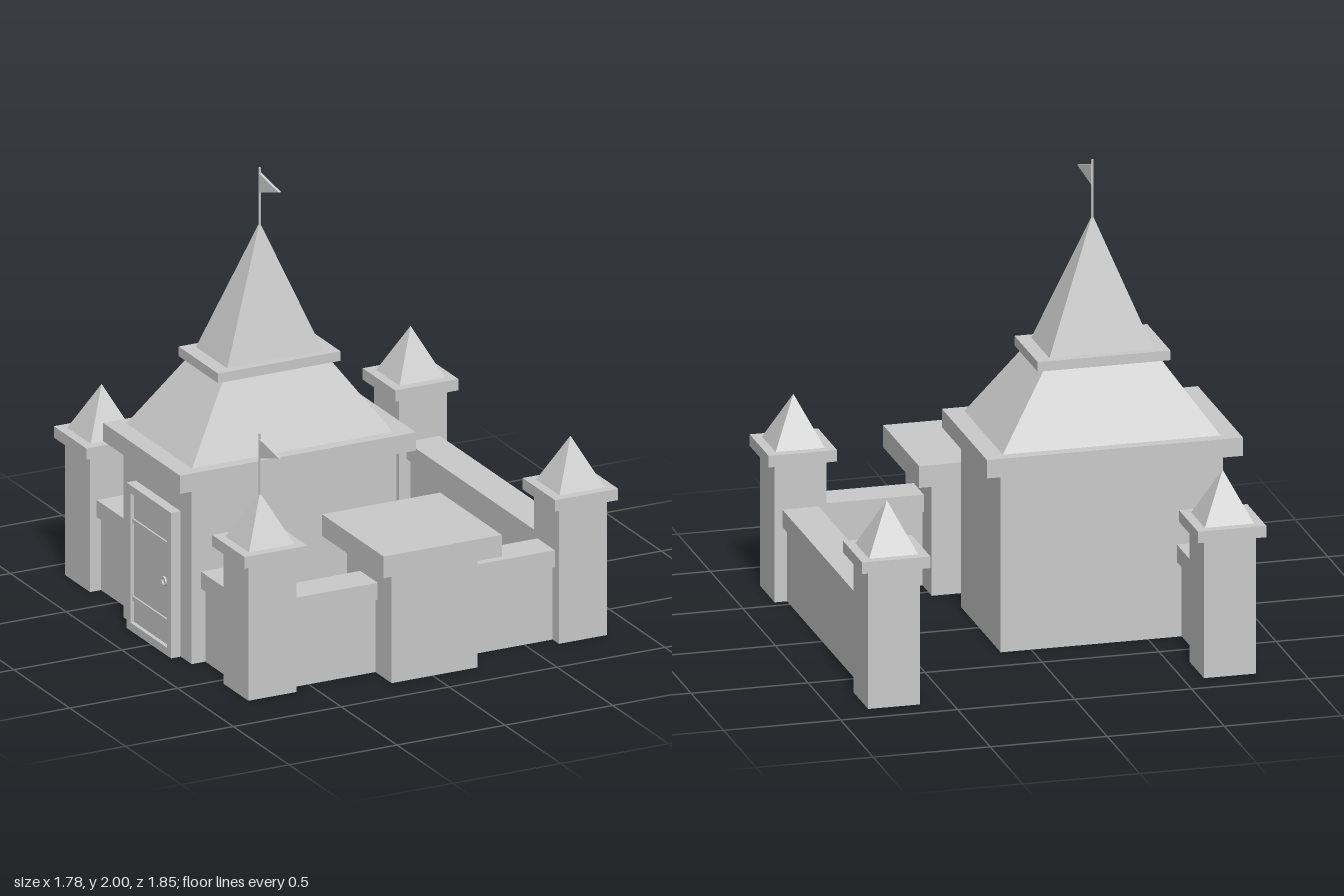
import * as THREE from 'three';

const grey = new THREE.MeshStandardMaterial({ color: 0xcccccc, flatShading: true });
const greyThin = new THREE.MeshStandardMaterial({ color: 0xcccccc, flatShading: true, side: THREE.DoubleSide });

function add(parent, name, geometry, material = grey) {
  const mesh = new THREE.Mesh(geometry, material);
  mesh.name = name;
  parent.add(mesh);
  return mesh;
}

// Box given by its limits on each axis
function block(parent, name, [x0, x1], [y0, y1], [z0, z1]) {
  const mesh = add(parent, name, new THREE.BoxGeometry(x1 - x0, y1 - y0, z1 - z0));
  mesh.position.set((x0 + x1) / 2, (y0 + y1) / 2, (z0 + z1) / 2);
  return mesh;
}

// Four-sided roof: a box whose top corners are drawn in to a smaller rectangle
function hipRoof(parent, name, [cx, cz], [y0, y1], [w, d], [topW, topD] = [0, 0]) {
  const geometry = new THREE.BoxGeometry(w, y1 - y0, d);
  const p = geometry.attributes.position;
  for (let i = 0; i < p.count; i++) {
    if (p.getY(i) > 0) {
      p.setX(i, Math.sign(p.getX(i)) * topW / 2);
      p.setZ(i, Math.sign(p.getZ(i)) * topD / 2);
    }
  }
  geometry.computeVertexNormals();
  const mesh = add(parent, name, geometry);
  mesh.position.set(cx, (y0 + y1) / 2, cz);
}

// Thin pole with a pennant pointing forward
function flag(parent, x, z, y0, y1) {
  const group = new THREE.Group();
  group.name = 'flag';
  group.position.set(x, 0, z);
  const pole = add(group, 'flagPole', new THREE.CylinderGeometry(0.005, 0.005, y1 - y0, 6));
  pole.position.y = (y0 + y1) / 2;
  const shape = new THREE.Shape([
    new THREE.Vector2(0, -0.043), new THREE.Vector2(0.143, 0), new THREE.Vector2(0, 0.043),
  ]);
  const geometry = new THREE.ExtrudeGeometry(shape, { depth: 0.012, bevelEnabled: false });
  geometry.translate(0, 0, -0.006);
  const pennant = add(group, 'pennant', geometry, greyThin);
  pennant.position.y = y1 - 0.065;
  pennant.rotation.y = -Math.PI / 2 + 0.15;
  parent.add(group);
}

// Corner tower: shaft, cap slab and pyramid roof
function tower(parent, name, x, z) {
  const group = new THREE.Group();
  group.name = name;
  const span = (c, half) => [c - half, c + half];
  block(group, 'shaft', span(x, 0.111), [0, 0.6], span(z, 0.111));
  block(group, 'cap', span(x, 0.146), [0.6, 0.65], span(z, 0.146));
  hipRoof(group, 'towerRoof', [x, z], [0.65, 0.86], [0.21, 0.21]);
  parent.add(group);
  return group;
}

// Curtain wall with a slightly wider coping; runs along the longer side
function wall(parent, name, [x0, x1], [z0, z1]) {
  const group = new THREE.Group();
  group.name = name;
  const ix = x1 - x0 < z1 - z0 ? 0.02 : 0;
  const iz = 0.02 - ix;
  block(group, 'wallBody', [x0 + ix, x1 - ix], [0, 0.325], [z0 + iz, z1 - iz]);
  block(group, 'coping', [x0, x1], [0.325, 0.4], [z0, z1]);
  parent.add(group);
}

// Door on the keep's right side: raised frame, leaf, rails and a round handle
function door(parent) {
  const group = new THREE.Group();
  group.name = 'door';
  const x = [-0.865, -0.815];
  for (const z of [-0.22, 0.145]) block(group, 'doorJamb', x, [0, 0.64], [z, z + 0.035]);
  for (const y of [0, 0.605]) block(group, 'doorRail', x, [y, y + 0.035], [-0.185, 0.145]);
  block(group, 'doorLeaf', [-0.847, -0.815], [0.035, 0.605], [-0.185, 0.145]);
  for (const y of [0.13, 0.47]) block(group, 'doorBand', [-0.855, -0.845], [y, y + 0.02], [-0.185, 0.145]);
  const handle = add(group, 'doorHandle', new THREE.TorusGeometry(0.017, 0.005, 6, 16));
  handle.position.set(-0.853, 0.31, 0.095);
  handle.rotation.y = Math.PI / 2;
  parent.add(group);
}

export function createModel() {
  const castle = new THREE.Group();
  castle.name = 'castle';

  // Keep with its stepped roof
  const keep = new THREE.Group();
  keep.name = 'keep';
  const centre = [-0.346, -0.03];
  block(keep, 'keepBody', [-0.82, 0.13], [0, 0.775], [-0.332, 0.278]);
  block(keep, 'eaves', [-0.893, 0.201], [0.775, 0.855], [-0.375, 0.315]);
  hipRoof(keep, 'lowerRoof', centre, [0.855, 1.16], [0.93, 0.59], [0.5, 0.31]);
  block(keep, 'roofCollar', [-0.63, -0.063], [1.16, 1.202], [-0.207, 0.148]);
  hipRoof(keep, 'spire', centre, [1.202, 1.76], [0.445, 0.28]);
  flag(keep, ...centre, 1.74, 2);
  door(keep);
  castle.add(keep);

  // Gatehouse
  const gatehouse = new THREE.Group();
  gatehouse.name = 'gatehouse';
  block(gatehouse, 'gateBody', [-0.19, 0.207], [0, 0.5], [0.45, 0.852]);
  block(gatehouse, 'gateRoof', [-0.265, 0.283], [0.5, 0.595], [0.372, 0.925]);
  castle.add(gatehouse);

  // Corner towers
  const flagTower = tower(castle, 'frontRightTower', -0.697, 0.652);
  flag(flagTower, -0.697, 0.652, 0.84, 1.12);
  tower(castle, 'frontLeftTower', 0.742, 0.652);
  tower(castle, 'backRightTower', -0.697, -0.768);
  tower(castle, 'backLeftTower', 0.742, -0.782);

  // Curtain walls
  wall(castle, 'leftWall', [0.665, 0.82], [-0.7, 0.56]);
  wall(castle, 'frontWallLeft', [0.19, 0.65], [0.572, 0.727]);
  wall(castle, 'frontWallRight', [-0.6, -0.17], [0.572, 0.727]);
  wall(castle, 'rightWallFront', [-0.777, -0.623], [0.26, 0.56]);
  wall(castle, 'rightWallBack', [-0.777, -0.623], [-0.68, -0.31]);

  return castle;
}
